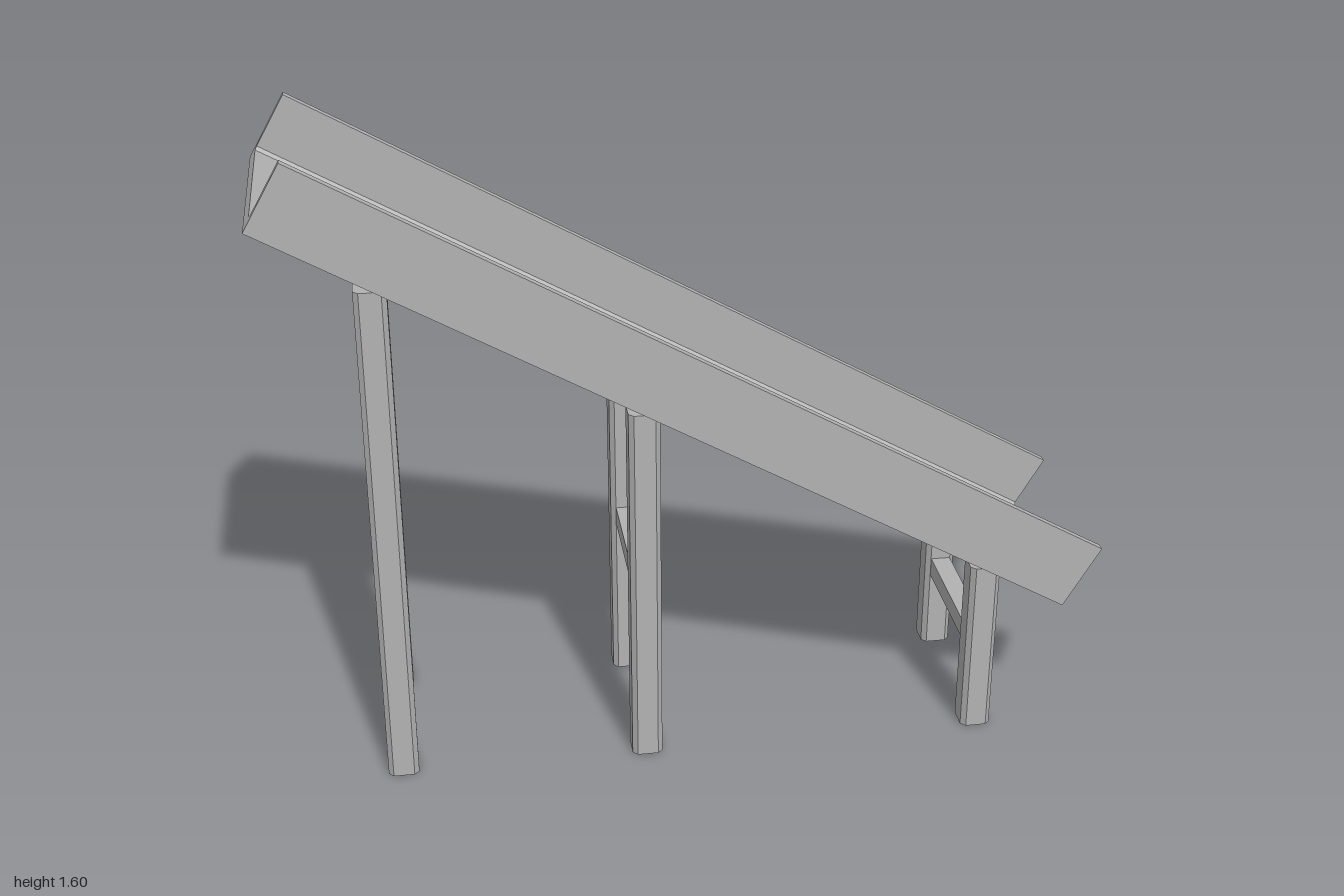
import * as THREE from 'three';

const grey = new THREE.MeshStandardMaterial({ color: 0xb2b2b2 });
grey.name = 'plain grey';

function addPart(group, name, geometry, x, y, z) {
  const mesh = new THREE.Mesh(geometry, grey);
  mesh.name = name;
  mesh.position.set(x, y, z);
  group.add(mesh);
  return mesh;
}

function shapeFrom(points) {
  return new THREE.Shape(points.map(([x, y]) => new THREE.Vector2(x, y)));
}

// Upright square post with chamfered corners, standing on y = 0
function postGeometry(height) {
  const h = 0.0375, c = h - 0.012;
  const shape = shapeFrom([[h, -c], [h, c], [c, h], [-c, h], [-h, c], [-h, -c], [-c, -h], [c, -h]]);
  return new THREE.ExtrudeGeometry(shape, { depth: height, bevelEnabled: false }).rotateX(-Math.PI / 2);
}

// U-shaped channel with small fillets where the walls meet the floor
function troughGeometry(length) {
  const w = 0.25, inner = 0.229, wall = 0.178, floor = 0.03, f = 0.008;
  const shape = shapeFrom([
    [-w, 0], [w, 0], [w, wall], [inner, wall], [inner, floor + f], [inner - f, floor],
    [-inner + f, floor], [-inner, floor + f], [-inner, wall], [-w, wall],
  ]);
  return new THREE.ExtrudeGeometry(shape, { depth: length, bevelEnabled: false })
    .translate(0, 0, -length / 2)
    .rotateY(Math.PI / 2);
}

export function createModel() {
  const model = new THREE.Group();
  model.name = 'chute';

  // Sloping chute
  const trough = addPart(model, 'trough', troughGeometry(2.206), -0.0445, 0.897, 0);
  trough.rotation.z = -Math.PI / 6;

  // Three support frames: two posts joined by a crossbar
  const frames = [
    { name: 'tallFrame', x: -0.74, height: 1.29, barY: 0.62 },
    { name: 'middleFrame', x: -0.133, height: 0.945, barY: 0.46 },
    { name: 'shortFrame', x: 0.712, height: 0.463, barY: 0.235 },
  ];
  for (const { name, x, height, barY } of frames) {
    const frame = new THREE.Group();
    frame.name = name;
    frame.position.x = x;
    for (const side of [1, -1]) {
      addPart(frame, side > 0 ? 'frontPost' : 'backPost', postGeometry(height), 0, 0, side * 0.202);
    }
    addPart(frame, 'crossbar', new THREE.BoxGeometry(0.05, 0.05, 0.34), 0, barY, 0);
    model.add(frame);
  }
  return model;
}
